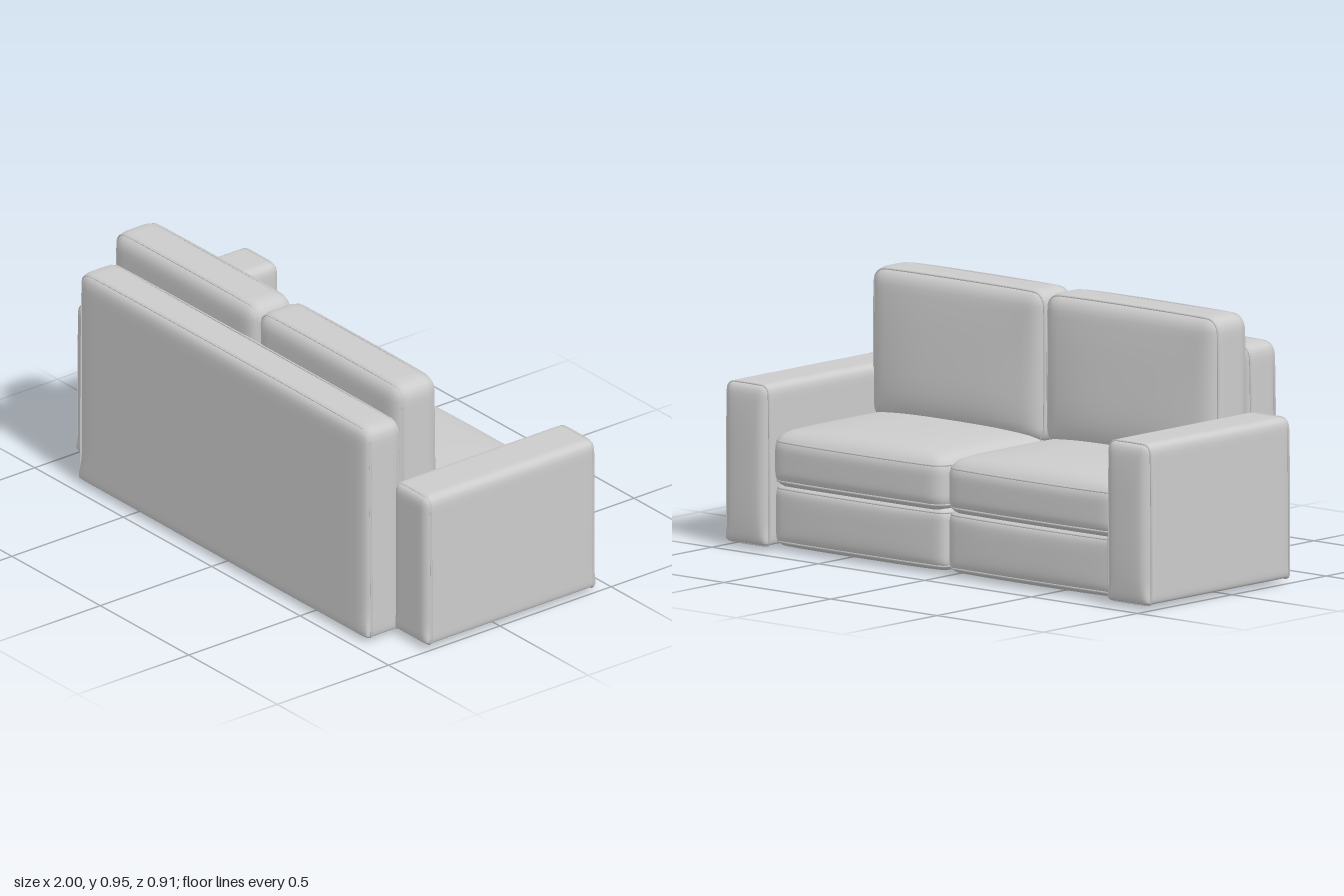
import * as THREE from 'three';
import { mergeVertices } from 'three/addons/utils/BufferGeometryUtils.js';

const material = new THREE.MeshStandardMaterial({ color: 0xcccccc });

// Moves every vertex of a geometry by a rule
function deform(geometry, rule) {
  const pos = geometry.attributes.position;
  const p = new THREE.Vector3();
  for (let i = 0; i < pos.count; i++) {
    p.fromBufferAttribute(pos, i);
    rule(p);
    pos.setXYZ(i, p.x, p.y, p.z);
  }
  return geometry;
}

// Box with round edges, finely divided near its borders; foot is the radius at the bottom
function softBox(half, r, foot, n = 24) {
  let geometry = new THREE.BoxGeometry(2, 2, 2, n, n, n);
  geometry.deleteAttribute('uv');
  geometry.deleteAttribute('normal');
  geometry = mergeVertices(geometry, 1e-5);
  const inner = new THREE.Vector3();
  const low = new THREE.Vector3();
  const q = new THREE.Vector3();
  return deform(geometry, (p) => {
    for (const a of ['x', 'y', 'z']) p[a] = half[a] * Math.sin(p[a] * Math.PI / 2);
    const radius = THREE.MathUtils.lerp(foot, r, THREE.MathUtils.smoothstep(p.y / half.y, -1, -0.75));
    inner.copy(half).subScalar(radius);
    low.copy(inner).negate();
    q.copy(p).clamp(low, inner);
    p.sub(q).setLength(radius).add(q);
  });
}

// Closed piping loop around a soft box, set back from one of its faces
function pipingLoop(half, r, foot, axis, side, inset) {
  const other = axis === 'z' ? 'y' : 'z';
  const points = [];
  for (let corner = 0; corner < 4; corner++) {
    const sx = corner === 0 || corner === 3 ? 1 : -1;
    const so = corner < 2 ? 1 : -1;
    const radius = axis === 'z' && so < 0 ? foot : r;
    const c = Math.sqrt(radius ** 2 - Math.max(radius - inset, 0) ** 2);
    for (let k = 0; k <= 5; k++) {
      const angle = (corner + k / 5) * Math.PI / 2;
      const p = new THREE.Vector3();
      p.x = sx * (half.x - radius) + c * Math.cos(angle);
      p[other] = so * (half[other] - radius) + c * Math.sin(angle);
      p[axis] = side * (half[axis] - inset);
      points.push(p);
    }
  }
  const curve = new THREE.CatmullRomCurve3(points, true, 'centripetal');
  return new THREE.TubeGeometry(curve, 240, 0.004, 5, true);
}

// Upholstered block given by its [min, max] ranges; puff swells chosen faces
function upholstered(name, x, y, z, { r, foot = r, axis = 'z', inset = 0.02, puff = {} }) {
  const group = new THREE.Group();
  group.name = name;
  const half = new THREE.Vector3(x[1] - x[0], y[1] - y[0], z[1] - z[0]).multiplyScalar(0.5);
  const { top = 0, bottom = 0, front = 0, sag = 0 } = puff;
  const crown = (a, b) => Math.max(0, 1 - Math.abs(a) ** 3) * Math.max(0, 1 - b ** 4);
  const swell = (p) => {
    const u = p.x / half.x, v = p.y / half.y, w = p.z / half.z;
    p.y += crown(u, w) * (top * Math.max(v, 0) - bottom * Math.max(-v, 0));
    p.z -= crown(u, v) * Math.max(-w, 0) * (front - sag * v);
  };
  const add = (part, geometry) => {
    deform(geometry, swell).computeVertexNormals();
    const mesh = new THREE.Mesh(geometry, material);
    mesh.name = part;
    group.add(mesh);
  };
  add(name + 'Body', softBox(half, r, foot));
  for (const side of [-1, 1]) add(name + 'Piping', pipingLoop(half, r, foot, axis, side, inset));
  group.position.set((x[0] + x[1]) / 2, (y[0] + y[1]) / 2, (z[0] + z[1]) / 2);
  return group;
}

export function createModel() {
  const sofa = new THREE.Group();
  sofa.name = 'sofa';

  // Wide panel behind the cushions
  sofa.add(upholstered('backPanel', [-0.82, 0.82], [0.016, 0.832], [0.288, 0.456],
    { r: 0.048, foot: 0.018, inset: 0.021 }));

  for (const s of [-1, 1]) {
    const label = s > 0 ? 'left' : 'right';
    const span = (a, b) => (s > 0 ? [a, b] : [-b, -a]);

    // Arm
    sofa.add(upholstered(label + 'Arm', span(0.797, 0.997), [0.02, 0.595], [-0.443, 0.326],
      { r: 0.036, foot: 0.018, puff: { front: 0.011 } }));

    // Base block under the seat
    sofa.add(upholstered(label + 'Base', span(0.001, 0.815), [0.016, 0.243], [-0.393, 0.305],
      { r: 0.04, axis: 'y', inset: 0.018, puff: { bottom: 0.013, front: 0.016 } }));

    // Seat cushion
    sofa.add(upholstered(label + 'SeatCushion', span(0.001, 0.817), [0.223, 0.424], [-0.407, 0.24],
      { r: 0.06, axis: 'y', inset: 0.03, puff: { top: 0.027, front: 0.014 } }));

    // Back cushion, fuller towards the bottom
    sofa.add(upholstered(label + 'BackCushion', span(0.001, 0.815), [0.395, 0.95], [0.118, 0.31],
      { r: 0.058, inset: 0.027, puff: { front: 0.029, sag: 0.022 } }));
  }
  return sofa;
}
